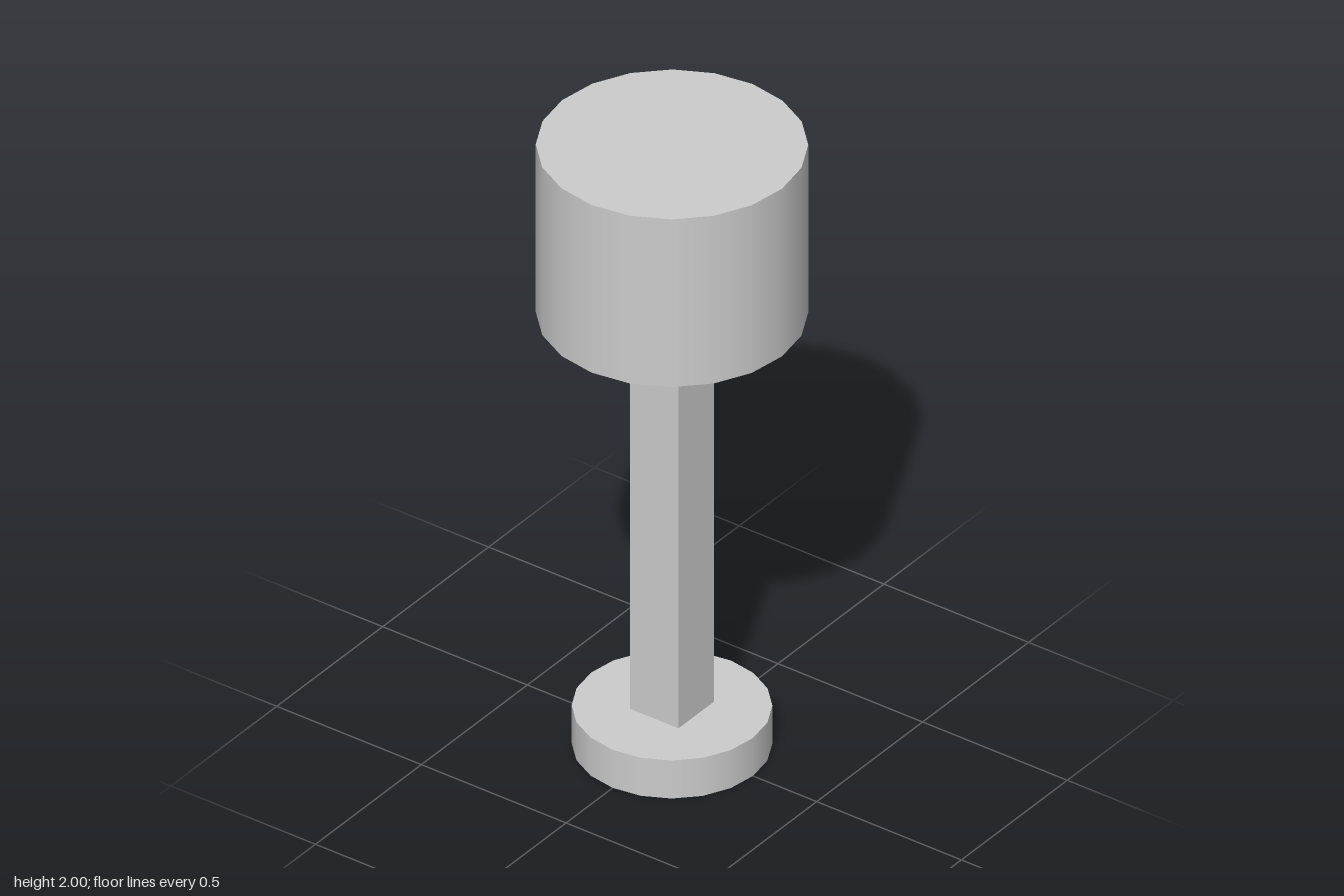
import * as THREE from 'three';

const SIDES = 20;

export function createModel() {
  const model = new THREE.Group();
  const material = new THREE.MeshStandardMaterial({ color: 0xcccccc });

  // Adds a part standing between two heights
  const addPart = (name, geometry, bottom, top) => {
    const mesh = new THREE.Mesh(geometry, material);
    mesh.name = name;
    mesh.position.y = (bottom + top) / 2;
    model.add(mesh);
  };
  const addDisc = (name, radius, bottom, top) =>
    addPart(name, new THREE.CylinderGeometry(radius, radius, top - bottom, SIDES), bottom, top);

  const baseTop = 0.127;
  const shadeBottom = 1.44;

  // Round foot, square post and drum shade
  addDisc('base', 0.28, 0, baseTop);
  addPart('post', new THREE.BoxGeometry(0.167, shadeBottom - baseTop, 0.167), baseTop, shadeBottom);
  addDisc('shade', 0.38, shadeBottom, 2);

  return model;
}
